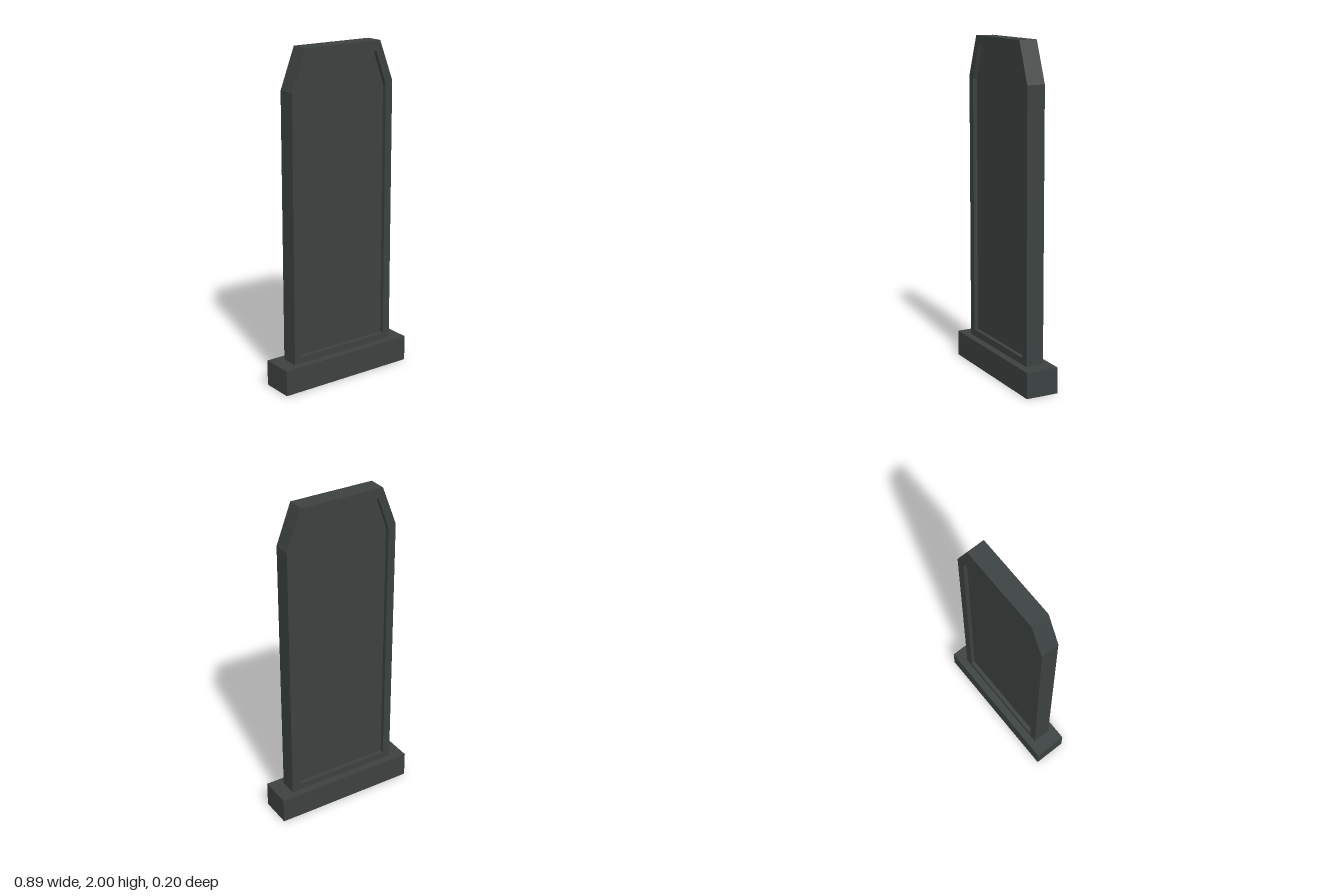
import * as THREE from 'three';

const stone = new THREE.MeshStandardMaterial({ color: 0x3c4241, side: THREE.DoubleSide });
stone.name = 'dark stone';

// Symmetric outline with clipped upper corners
function outline(Type, halfWidth, halfTop, bottom, shoulder, top) {
  return new Type([
    [-halfWidth, bottom], [halfWidth, bottom], [halfWidth, shoulder],
    [halfTop, top], [-halfTop, top], [-halfWidth, shoulder],
  ].map(([x, y]) => new THREE.Vector2(x, y)));
}

export function createModel() {
  const group = new THREE.Group();
  group.name = 'stoneSlab';
  const add = (name, geometry) => {
    const mesh = new THREE.Mesh(geometry, stone);
    mesh.name = name;
    group.add(mesh);
    return mesh;
  };

  const baseHeight = 0.155, thickness = 0.11, recess = 0.025;

  // Plinth, hollow and open underneath
  const plinth = new THREE.BoxGeometry(0.886, baseHeight, 0.2);
  const index = Array.from(plinth.index.array);
  index.splice(18, 6); // bottom face
  plinth.setIndex(index);
  plinth.clearGroups();
  add('plinth', plinth).position.y = baseHeight / 2;

  // Raised border running around the slab
  const border = outline(THREE.Shape, 0.353, 0.261, baseHeight, 1.76, 2);
  border.holes.push(outline(THREE.Path, 0.305, 0.234, 0.196, 1.74, 1.938));
  const borderGeometry = new THREE.ExtrudeGeometry(border, { depth: thickness, bevelEnabled: false });
  add('border', borderGeometry.translate(0, 0, -thickness / 2));

  // Recessed faces on both sides
  const face = new THREE.ShapeGeometry(outline(THREE.Shape, 0.305, 0.234, 0.196, 1.74, 1.938));
  add('frontPanel', face).position.z = thickness / 2 - recess;
  const back = add('backPanel', face);
  back.position.z = -thickness / 2 + recess;
  back.rotation.y = Math.PI;

  return group;
}
